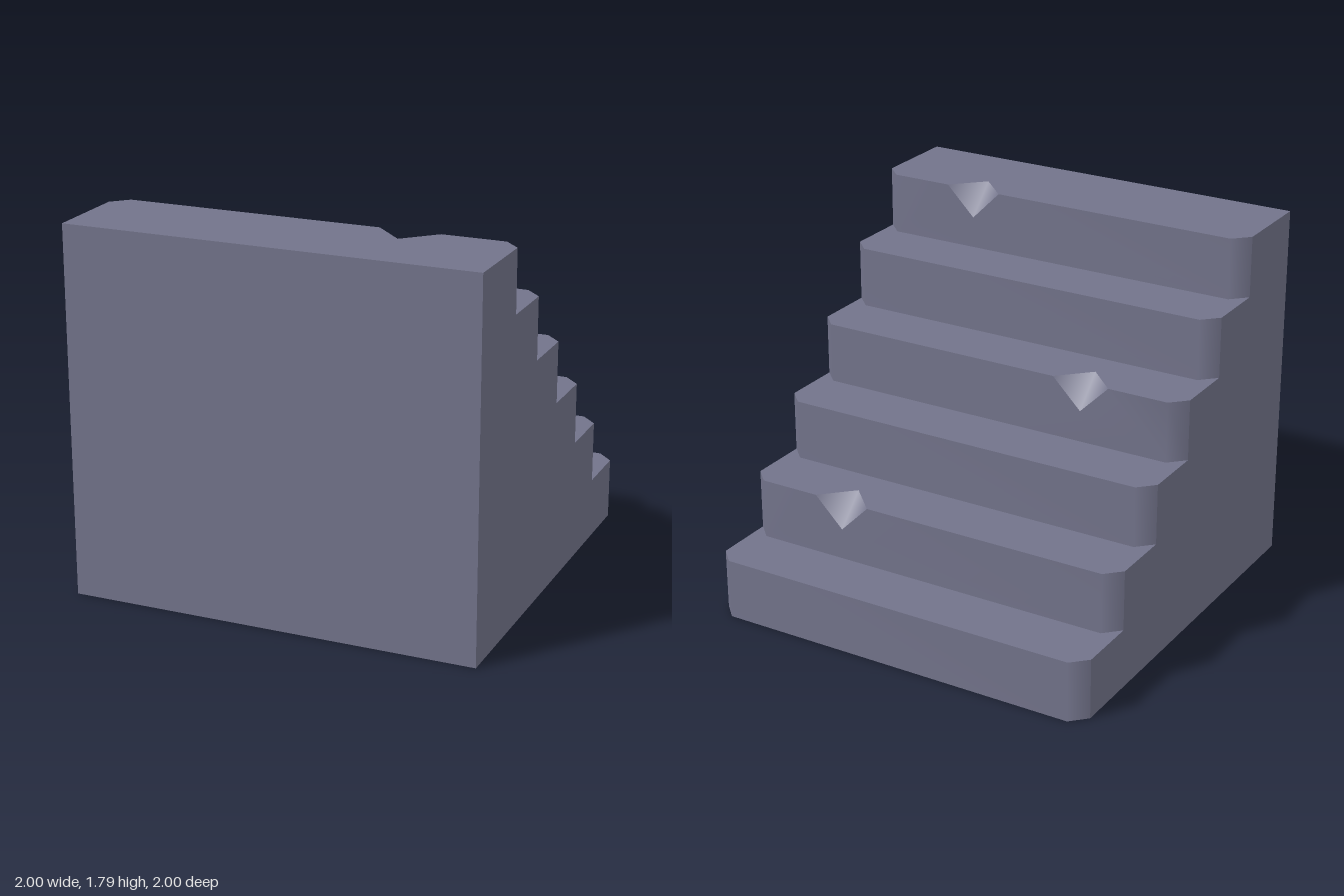
import * as THREE from 'three';

const A = 0.994;        // half width and half depth
const C = 0.075;        // corner chamfer
const COUNT = 6;
const RISE = 1.79 / COUNT;
const RUN = 0.2985;
const CHIP = 0.145;     // size of a broken notch
const CHIPS = { 1: 0.47, 3: -0.47, 5: 0.47 }; // step index -> x of notch

const frontZ = (k) => -A + k * RUN;

// Plan outline of a step's front edge, left to right, as [x, z]
function frontEdge(k, chipped) {
  const z = frontZ(k);
  const pts = [[-A, z + C], [-A + C, z]];
  if (chipped && k in CHIPS) {
    const x = CHIPS[k];
    pts.push([x - CHIP, z], [x, z + CHIP], [x + CHIP, z]);
  }
  pts.push([A - C, z], [A, z + C]);
  return pts;
}

function flat(points) {
  return new THREE.ShapeGeometry(new THREE.Shape(points.map(([x, y]) => new THREE.Vector2(x, y))));
}

// Small indexed patch with smooth normals
function patch(points, index) {
  const g = new THREE.BufferGeometry();
  g.setAttribute('position', new THREE.Float32BufferAttribute(points.flat(), 3));
  g.setIndex(index);
  g.computeVertexNormals();
  return g;
}

// Walking surface, ending where the next step rises
function treadGeometry(k) {
  const back = k < COUNT - 1 ? frontEdge(k + 1, false) : [[-A, A], [A, A]];
  const outline = [...frontEdge(k, true), ...back.reverse()];
  return flat(outline.map(([x, z]) => [x, -z])).rotateX(-Math.PI / 2).translate(0, (k + 1) * RISE, 0);
}

// Riser with chamfered ends, and a triangular gap where it is chipped
function riserGeometry(k) {
  const y0 = k * RISE, y1 = y0 + RISE, z = frontZ(k);
  const points = frontEdge(k, false).flatMap(([x, pz]) => [[x, y0, pz], [x, y1, pz]]);
  const index = [0, 1, 3, 0, 3, 2, 4, 5, 7, 4, 7, 6];
  if (k in CHIPS) {
    const x = CHIPS[k];
    points.push([x - CHIP, y1, z], [x, y1 - CHIP, z], [x + CHIP, y1, z]);
    index.push(2, 3, 8, 2, 8, 9, 2, 9, 4, 9, 10, 4, 10, 5, 4);
  } else {
    index.push(2, 3, 5, 2, 5, 4);
  }
  return patch(points, index);
}

// Two inner faces of a broken notch
function chipGeometry(k) {
  const x = CHIPS[k], y = (k + 1) * RISE, z = frontZ(k);
  return patch(
    [[x - CHIP, y, z], [x + CHIP, y, z], [x, y, z + CHIP], [x, y - CHIP, z]],
    [0, 2, 3, 1, 3, 2]
  );
}

// Stepped side wall; side is +1 for left, -1 for right
function sideGeometry(side) {
  const pts = [[A, 0]];
  for (let k = 0; k < COUNT; k++) {
    pts.push([frontZ(k) + C, k * RISE], [frontZ(k) + C, (k + 1) * RISE]);
  }
  pts.push([A, COUNT * RISE]);
  return flat(pts.map(([z, y]) => [-side * z, y])).rotateY(side * Math.PI / 2).translate(side * A, 0, 0);
}

export function createModel() {
  const stone = new THREE.MeshStandardMaterial({ color: 0x72738a });
  stone.name = 'slate stone';

  const model = new THREE.Group();
  model.name = 'stoneStairs';
  const stairs = new THREE.Group();
  stairs.name = 'stairBlock';
  stairs.rotation.y = 0.006; // slightly askew
  model.add(stairs);

  const add = (name, geometry) => {
    const mesh = new THREE.Mesh(geometry, stone);
    mesh.name = name;
    stairs.add(mesh);
  };

  // Steps
  for (let k = 0; k < COUNT; k++) {
    add(`tread${k + 1}`, treadGeometry(k));
    add(`riser${k + 1}`, riserGeometry(k));
    if (k in CHIPS) add(`chip${k + 1}`, chipGeometry(k));
  }

  // Block walls and base
  add('leftSide', sideGeometry(1));
  add('rightSide', sideGeometry(-1));
  const height = COUNT * RISE;
  add('tallWall', new THREE.PlaneGeometry(2 * A, height).translate(0, height / 2, A));
  add('base', flat([...frontEdge(0, false), [A, A], [-A, A]]).rotateX(Math.PI / 2));

  return model;
}
